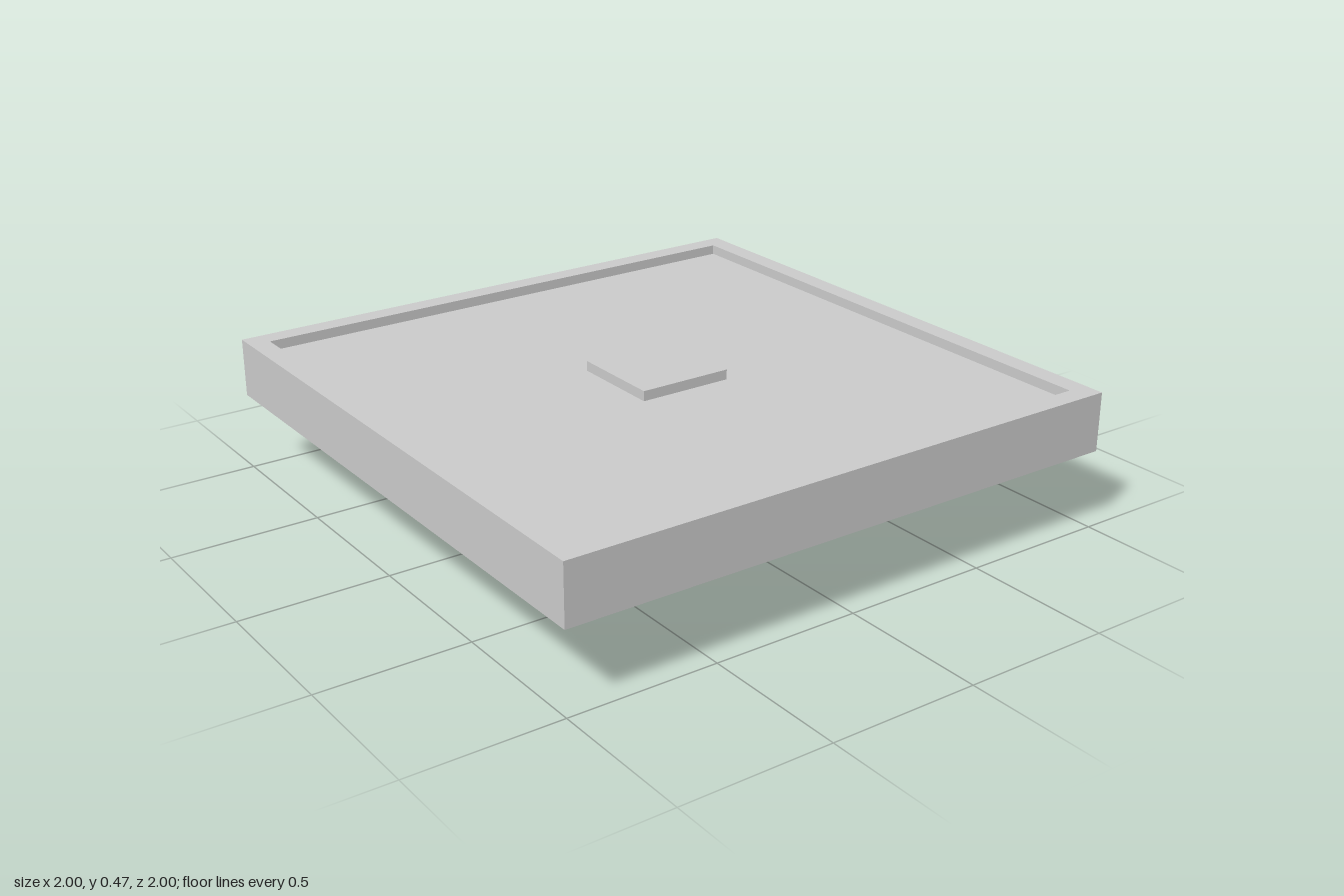
import * as THREE from 'three';

const grey = new THREE.MeshStandardMaterial({ color: 0xcccccc, flatShading: true });

function addPart(group, name, geometry, y) {
  const mesh = new THREE.Mesh(geometry, grey);
  mesh.name = name;
  mesh.position.y = y;
  group.add(mesh);
}

function square(Type, half) {
  return new Type([[-half, -half], [half, -half], [half, half], [-half, half]]
    .map(([x, y]) => new THREE.Vector2(x, y)));
}

export function createModel() {
  const group = new THREE.Group();
  group.name = 'tray';
  const bottom = 0.267, floor = 0.433, top = 0.467;

  // Square slab whose top is the sunken floor, with its outer wall as one frame
  const frame = square(THREE.Shape, 1);
  frame.holes.push(square(THREE.Path, 0.93));
  const rim = new THREE.ExtrudeGeometry(frame, { depth: top - bottom, bevelEnabled: false });
  addPart(group, 'rim', rim.rotateX(-Math.PI / 2), bottom);
  addPart(group, 'trayFloor', new THREE.BoxGeometry(1.86, floor - bottom, 1.86), (floor + bottom) / 2);

  // Small raised square in the middle
  addPart(group, 'centrePad', new THREE.BoxGeometry(0.326, top - floor, 0.326), (floor + top) / 2);

  // Faceted half ball cut flat below, with a shallow round recess in the cut
  const radius = 0.285, step = Math.PI / 16, centreY = radius * Math.sin(6 * step);
  const profile = [new THREE.Vector2(0, 0.033), new THREE.Vector2(0.107, 0.033)];
  for (let i = 6; i >= 0; i--) {
    profile.push(new THREE.Vector2(radius * Math.cos(i * step), centreY - radius * Math.sin(i * step)));
  }
  profile.push(new THREE.Vector2(radius, bottom + 0.01));
  addPart(group, 'ballFoot', new THREE.LatheGeometry(profile, 32), 0);

  return group;
}
